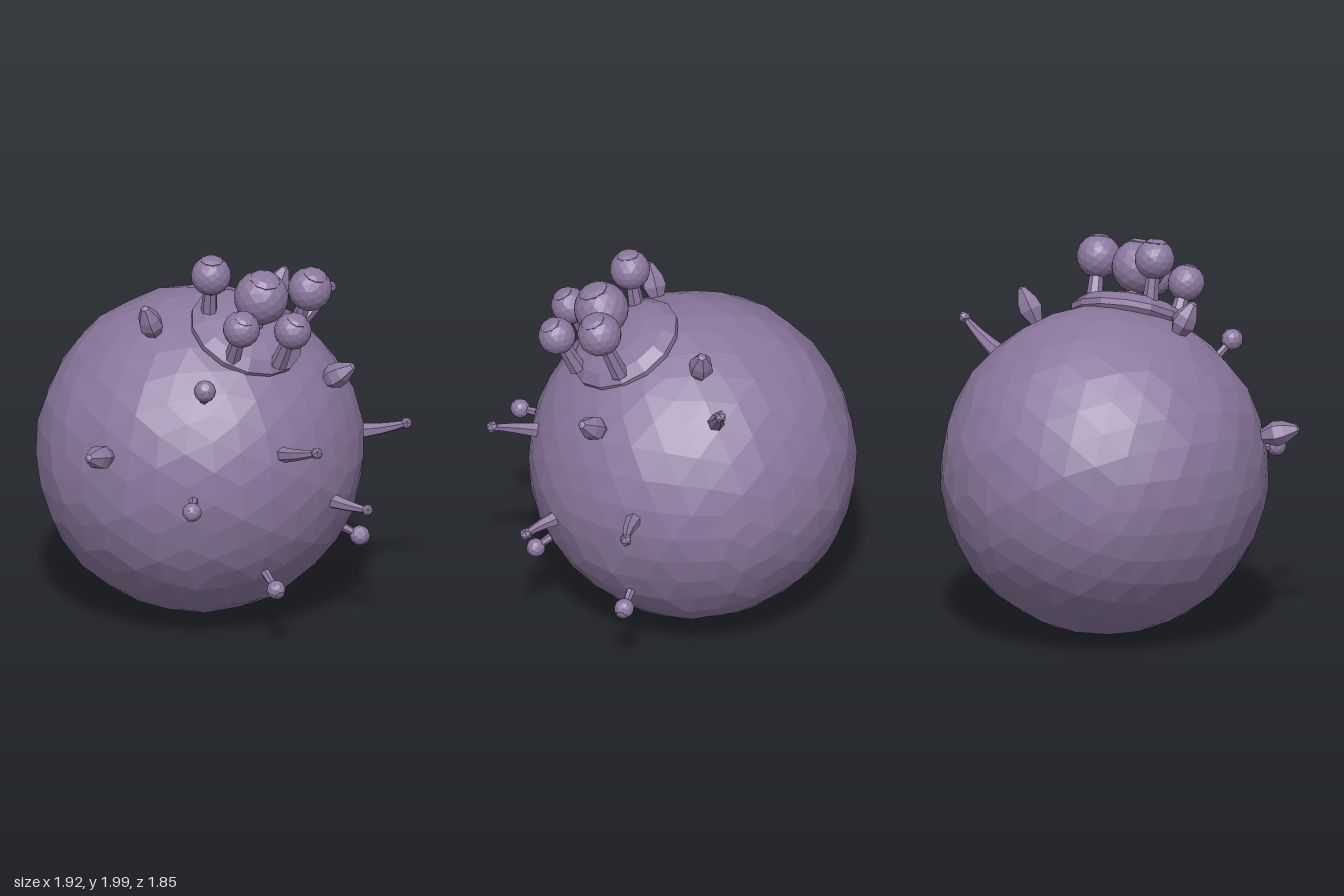
import * as THREE from 'three';

const material = new THREE.MeshStandardMaterial({ color: 0x8b779d, flatShading: true });
const UP = new THREE.Vector3(0, 1, 0);
const CENTER = new THREE.Vector3(-0.128, 0.842, -0.087);
const vec = (p) => new THREE.Vector3(...p);

function mesh(name, geometry) {
  const flat = geometry.index ? geometry.toNonIndexed() : geometry;
  flat.computeVertexNormals();
  const m = new THREE.Mesh(flat, material);
  m.name = name;
  return m;
}

// Turns an object's y axis towards a direction
function aim(object, position, direction) {
  object.position.copy(position);
  object.quaternion.setFromUnitVectors(UP, direction.clone().normalize());
  return object;
}

function stalk(name, a, b, r0, r1, sides) {
  const d = b.clone().sub(a);
  const m = mesh(name, new THREE.CylinderGeometry(r1, r0, d.length(), sides));
  return aim(m, a.clone().lerp(b, 0.5), d);
}

// Faceted ball with a small raised lid on its outer pole
function liddedBall(name, center, direction, r) {
  const g = new THREE.Group();
  g.name = name;
  g.add(mesh('ball', new THREE.IcosahedronGeometry(r, r > 0.08 ? 2 : 1)));
  const lid = mesh('lid', new THREE.LatheGeometry([
    [0.54 * r, 0.78 * r], [0.56 * r, 0.86 * r], [0.36 * r, 0.97 * r], [0, 1.0 * r],
  ].map(([x, y]) => new THREE.Vector2(x, y)), 9));
  g.add(lid);
  return aim(g, center, direction);
}

// Slightly lumpy faceted globe
function createBody() {
  const geo = new THREE.IcosahedronGeometry(1, 5);
  const pos = geo.attributes.position;
  const v = new THREE.Vector3();
  for (let i = 0; i < pos.count; i++) {
    v.fromBufferAttribute(pos, i);
    const lump = 1 + 0.007 * Math.sin(7 * v.x + 4 * v.y) * Math.cos(6 * v.z - 3 * v.y)
      + 0.005 * Math.sin(17 * v.x + 13 * v.z + 11 * v.y);
    v.multiplyScalar(0.835 * lump);
    pos.setXYZ(i, v.x, v.y, v.z);
  }
  const body = mesh('body', geo);
  body.position.copy(CENTER);
  return body;
}

// Low dome under the mushroom cluster
function createMound() {
  const profile = [[0, -0.06], [0.25, -0.05], [0.295, -0.015], [0.3, 0.015], [0.25, 0.065], [0.15, 0.095], [0, 0.105]];
  const m = mesh('mound', new THREE.LatheGeometry(profile.map((p) => new THREE.Vector2(...p)), 14));
  return aim(m, new THREE.Vector3(0.08, 1.56, 0.2), new THREE.Vector3(0.31, 0.87, 0.39));
}

function createMushroom([base, top, r]) {
  const g = new THREE.Group();
  g.name = 'mushroom';
  const a = vec(base), b = vec(top);
  const d = b.clone().sub(a);
  g.add(stalk('stem', a, b, 0.046, 0.03, 7), liddedBall('cap', b, d, r));
  return g;
}

function createBallStalk([base, top, r]) {
  const g = new THREE.Group();
  g.name = 'ballStalk';
  const a = vec(base), b = vec(top);
  const d = b.clone().sub(a);
  a.addScaledVector(d, -0.3);
  g.add(stalk('stem', a, b, 0.026, 0.017, 6), liddedBall('knob', b, d, r));
  return g;
}

// Tapered, gently bent horn with a small knob
function createHorn([base, tip, bend]) {
  const g = new THREE.Group();
  g.name = 'horn';
  const a = vec(base), b = vec(tip);
  const out = a.clone().sub(CENTER).normalize();
  a.addScaledVector(out, -0.04);
  const mid = a.clone().lerp(b, 0.5).add(vec(bend));
  const curve = new THREE.QuadraticBezierCurve3(a, mid, b);
  const rings = 4, sides = 6;
  const geo = new THREE.TubeGeometry(curve, rings, 1, sides);
  const pos = geo.attributes.position;
  const v = new THREE.Vector3();
  for (let i = 0; i < pos.count; i++) {
    const t = Math.floor(i / (sides + 1)) / rings;
    const c = curve.getPointAt(t);
    v.fromBufferAttribute(pos, i).sub(c).multiplyScalar(0.046 - 0.03 * t).add(c);
    pos.setXYZ(i, v.x, v.y, v.z);
  }
  const knob = mesh('hornTip', new THREE.IcosahedronGeometry(0.033, 0));
  knob.position.copy(b);
  g.add(mesh('hornShaft', geo), knob);
  return g;
}

// Pointed six-sided bud growing straight out of the body
function createBud(center) {
  const profile = [[0, -0.11], [0.032, -0.1], [0.066, -0.025], [0.058, 0.025], [0.022, 0.095], [0, 0.105]];
  const m = mesh('bud', new THREE.LatheGeometry(profile.map((p) => new THREE.Vector2(...p)), 6));
  const c = vec(center);
  return aim(m, c, c.clone().sub(CENTER));
}

export function createModel() {
  const model = new THREE.Group();
  model.name = 'studdedGlobe';
  model.add(createBody(), createMound());

  // Mushrooms: base, cap centre, cap radius
  [
    [[-0.11, 1.62, 0.2], [-0.1, 1.897, 0.24], 0.103],
    [[0.12, 1.6, 0.24], [0.15, 1.795, 0.31], 0.14],
    [[0.33, 1.54, 0.15], [0.405, 1.805, 0.235], 0.113],
    [[-0.01, 1.5, 0.42], [0.03, 1.705, 0.52], 0.095],
    [[0.23, 1.47, 0.41], [0.293, 1.68, 0.5], 0.096],
  ].forEach((m) => model.add(createMushroom(m)));

  // Ball stalks: base, knob centre, knob radius
  [
    [[-0.165, 1.33, 0.55], [-0.17, 1.43, 0.667], 0.057],
    [[-0.235, 0.86, 0.74], [-0.255, 0.857, 0.88], 0.05],
    [[0.57, 0.44, 0.005], [0.68, 0.378, 0.01], 0.052],
    [[0.14, 0.41, 0.55], [0.195, 0.335, 0.645], 0.049],
  ].forEach((s) => model.add(createBallStalk(s)));

  // Horns: base, tip, bend offset
  [
    [[0.42, 1.42, -0.4], [0.575, 1.55, -0.47], [0.01, -0.015, 0]],
    [[0.23, 1.06, 0.62], [0.387, 1.13, 0.815], [-0.03, -0.01, 0.02]],
    [[0.69, 0.925, -0.045], [0.925, 0.943, -0.082], [0.01, -0.005, 0.025]],
    [[0.5, 0.728, 0.43], [0.67, 0.71, 0.54], [-0.01, 0, 0.02]],
  ].forEach((h) => model.add(createHorn(h)));

  // Buds
  [
    [-0.41, 1.65, 0.22], [0.285, 1.645, -0.27], [0.55, 1.335, 0.225], [-0.705, 1.065, 0.6],
  ].forEach((c) => model.add(createBud(c)));

  return model;
}
